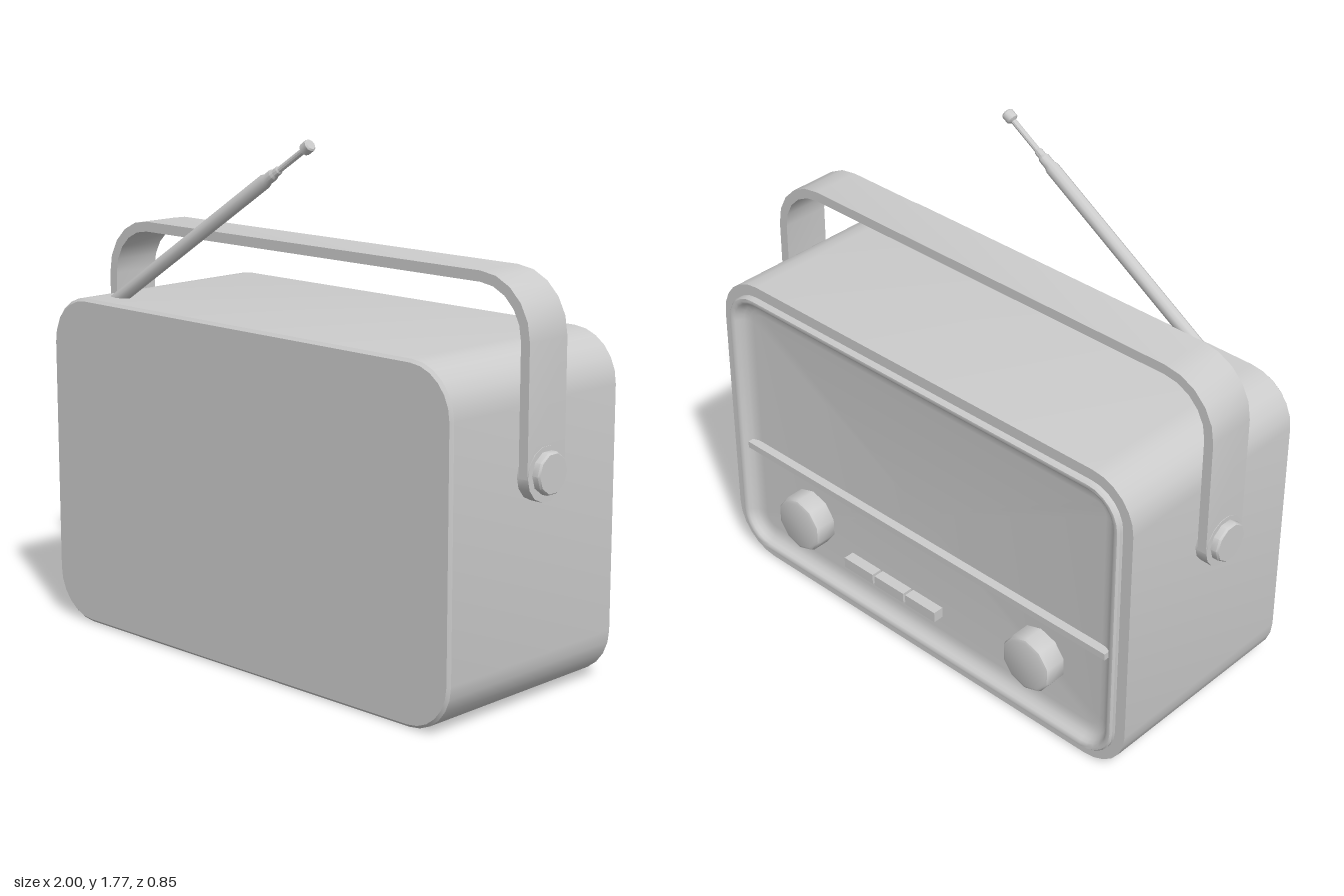
import * as THREE from 'three';
import { toCreasedNormals } from 'three/addons/utils/BufferGeometryUtils.js';

const material = new THREE.MeshStandardMaterial({ color: 0xcccccc });

function addMesh(parent, name, geometry, x = 0, y = 0, z = 0) {
  const mesh = new THREE.Mesh(geometry, material);
  mesh.name = name;
  mesh.position.set(x, y, z);
  parent.add(mesh);
  return mesh;
}

// Smooth lathe with crisp edges; profile is a list of [radius, height]
function turned(profile, sides) {
  const points = profile.map(([r, h]) => new THREE.Vector2(r, h));
  return toCreasedNormals(new THREE.LatheGeometry(points, sides), 0.75);
}

// Rounded rectangle as a counter-clockwise list of points
function roundedLoop(halfW, halfH, radius, segments) {
  const points = [];
  [[1, 1], [-1, 1], [-1, -1], [1, -1]].forEach(([sx, sy], corner) => {
    for (let i = 0; i <= segments; i++) {
      const a = (corner + i / segments) * Math.PI / 2;
      points.push([
        sx * (halfW - radius) + Math.cos(a) * radius,
        sy * (halfH - radius) + Math.sin(a) * radius,
      ]);
    }
  });
  return points;
}

// Case lofted from inset rounded rectangles running front to back
function caseGeometry() {
  const halfW = 0.925, halfH = 0.58, radius = 0.17;
  const sections = [
    [0.01, 0.42], [0, 0.41], [0, -0.37], [0.04, -0.37],      // shell
    [0.04, -0.384], [0.046, -0.391], [0.056, -0.392],        // raised rim
    [0.066, -0.386], [0.072, -0.374], [0.085, -0.36],
    [0.105, -0.352], [0.125, -0.35],                         // cove to the panel
  ];
  const loops = sections.map(([inset, z]) =>
    roundedLoop(halfW - inset, halfH - inset, radius - inset, 6).map(([x, y]) => [x, y, z]));
  const count = loops[0].length;
  const vertices = [...loops.flat(), [0, 0, 0.42], [0, 0, -0.35]].flat();
  const frontCentre = loops.length * count, backCentre = frontCentre + 1;
  const lastRow = (loops.length - 1) * count;
  const index = [];
  for (let j = 0; j < count; j++) {
    const k = (j + 1) % count;
    for (let i = 0; i < loops.length - 1; i++) {
      const a = i * count + j, b = i * count + k;
      index.push(a, a + count, b, b, a + count, b + count);
    }
    index.push(frontCentre, j, k, backCentre, lastRow + k, lastRow + j);
  }
  const geometry = new THREE.BufferGeometry();
  geometry.setAttribute('position', new THREE.Float32BufferAttribute(vertices, 3));
  geometry.setIndex(index);
  return toCreasedNormals(geometry, 0.7);
}

// Handle outline: an arch with a constant-thickness band
function handleGeometry() {
  const arch = (w, top, r) => {
    const points = [[w, 0.775]];
    for (let i = 0; i <= 5; i++) {
      const a = i / 5 * Math.PI / 2;
      points.push([w - r + Math.cos(a) * r, top - r + Math.sin(a) * r]);
    }
    const mirrored = points.map(([x, y]) => [-x, y]).reverse();
    return [...points, ...mirrored].map(([x, y]) => new THREE.Vector2(x, y));
  };
  const shape = new THREE.Shape([...arch(0.97, 1.4, 0.2), ...arch(0.935, 1.365, 0.165).reverse()]);
  const geometry = new THREE.ExtrudeGeometry(shape, { depth: 0.18, bevelEnabled: false });
  return toCreasedNormals(geometry, 0.6);
}

export function createModel() {
  const radio = new THREE.Group();
  radio.name = 'radio';

  addMesh(radio, 'case', caseGeometry(), 0, 0.585, 0);

  // Carrying handle with rounded ends and pivot caps
  const handle = new THREE.Group();
  handle.name = 'handle';
  radio.add(handle);
  addMesh(handle, 'handleBand', handleGeometry(), 0, 0, -0.06);
  for (const side of [1, -1]) {
    const end = addMesh(handle, 'handleEnd',
      turned([[0, -0.022], [0.09, -0.022], [0.09, 0.022], [0, 0.022]], 14), side * 0.95, 0.78, 0.03);
    const cap = addMesh(handle, 'pivotCap',
      turned([[0, 0], [0.07, 0], [0.07, 0.028], [0.065, 0.035], [0, 0.035]], 10), side * 0.965, 0.785, 0.03);
    end.rotation.z = cap.rotation.z = -side * Math.PI / 2;
  }

  // Telescopic antenna leaning across the top
  const antenna = addMesh(radio, 'antenna', turned([
    [0, 0], [0.024, 0], [0.024, 0.91], [0.019, 0.925], [0.019, 0.955],
    [0.014, 0.965], [0.014, 0.985], [0.01, 0.99], [0.01, 1.115],
    [0.021, 1.122], [0.021, 1.15], [0.016, 1.155], [0, 1.155],
  ], 10), -0.74, 1.135, 0.31);
  antenna.rotation.z = -Math.atan2(0.975, 0.625);

  // Control panel: divider, two knobs and three push buttons
  addMesh(radio, 'divider', new THREE.BoxGeometry(1.68, 0.025, 0.04), 0, 0.475, -0.362);
  for (const x of [-0.542, 0.542]) {
    const knob = addMesh(radio, 'knob', turned([
      [0.105, 0], [0.105, 0.065], [0.1, 0.076], [0.09, 0.08], [0, 0.08],
    ].reverse().map(([r, h]) => [r, h]).reverse(), 10), x, 0.295, -0.35);
    knob.rotation.x = -Math.PI / 2;
  }
  for (let i = -1; i <= 1; i++) {
    addMesh(radio, 'pushButton', new THREE.BoxGeometry(0.14, 0.04, 0.05), 0.13 + i * 0.15, 0.21, -0.365);
  }

  return radio;
}
